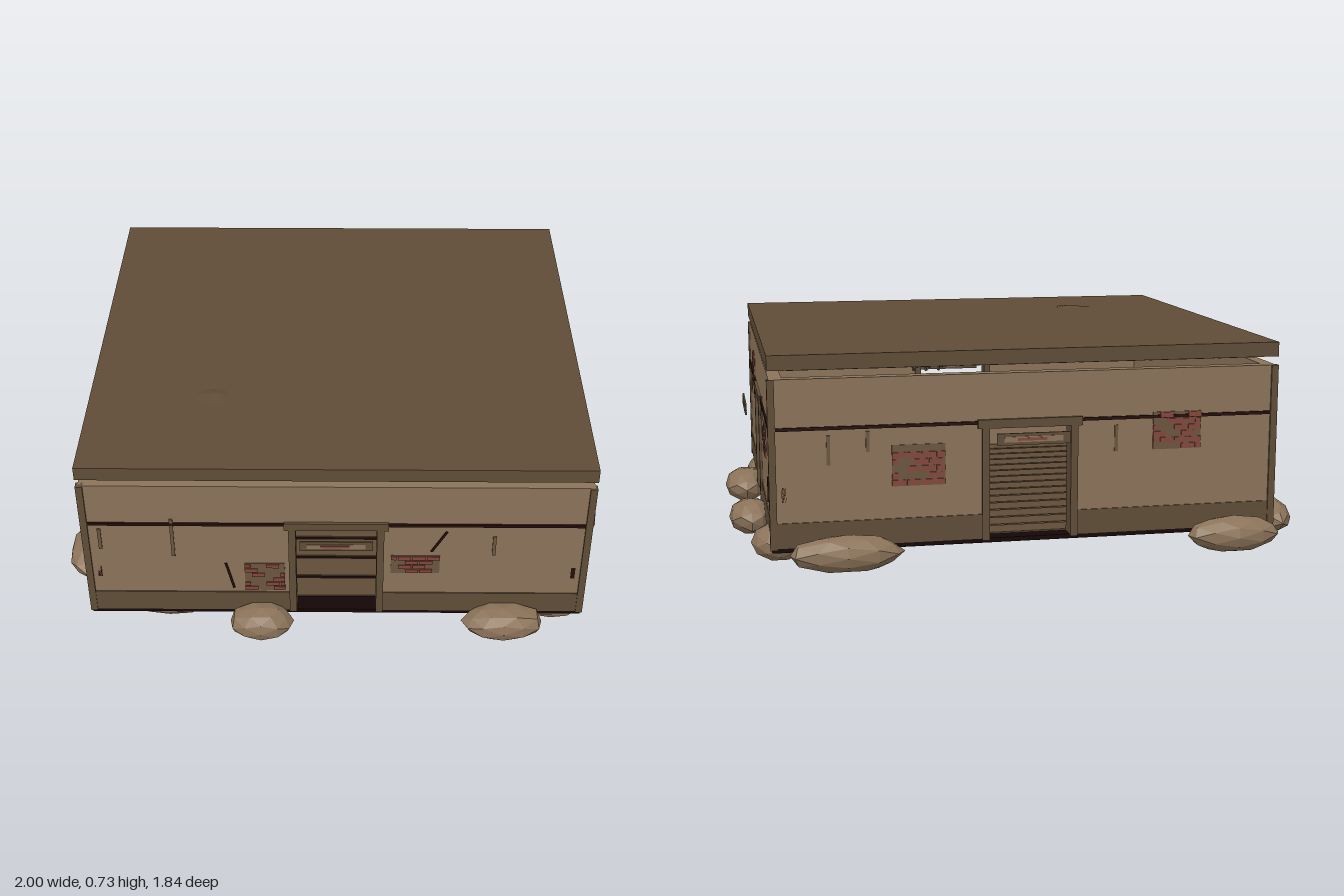
import * as THREE from 'three';

const mat = (name, color, flatShading = false) => {
  const m = new THREE.MeshStandardMaterial({ color, flatShading });
  m.name = name;
  return m;
};

export function createModel() {
  const plaster = mat('plaster', 0x8b7359);
  const wood = mat('darkWood', 0x5f4c37);
  const stone = mat('stone', 0x8b7359, true);
  const darkStone = mat('darkStone', 0x5f4c37, true);
  const soot = mat('soot', 0x150606);
  const trim = mat('trim', 0x260e0b);
  const mortar = mat('mortar', 0x6b563f);
  const brick = mat('brick', 0x84463b);

  const root = new THREE.Group();
  root.name = 'hut';
  let seed = 7;
  const rand = () => (seed = (seed * 16807) % 2147483647) / 2147483647;

  // box given by its two corners
  function box(parent, name, m, x0, x1, y0, y1, z0, z1) {
    const mesh = new THREE.Mesh(new THREE.BoxGeometry(x1 - x0, y1 - y0, z1 - z0), m);
    mesh.position.set((x0 + x1) / 2, (y0 + y1) / 2, (z0 + z1) / 2);
    mesh.name = name;
    parent.add(mesh);
    return mesh;
  }

  // exposed bricks: mortar plate with staggered thin bricks
  function brickPatch(parent, d, [u0, u1, y0, y1]) {
    const g = new THREE.Group();
    g.name = 'brickPatch';
    box(g, 'mortar', mortar, u0, u1, y0, y1, d, d + 0.003);
    const rows = Math.round((y1 - y0) / 0.022), h = (y1 - y0) / rows, w = 0.05;
    for (let r = 0; r < rows; r++) {
      for (let u = u0 - (r % 2) * w / 2; u < u1 - 0.01; u += w) {
        const a = Math.max(u, u0), b = Math.min(u + w - 0.005, u1);
        if (b - a > 0.008 && rand() < 0.68)
          box(g, 'brick', brick, a, b, y0 + r * h + 0.003, y0 + (r + 1) * h - 0.002, d, d + 0.007);
      }
    }
    parent.add(g);
  }

  // slanted crack between two points on a wall
  function crack(parent, d, [ua, ya, ub, yb]) {
    const len = Math.hypot(ub - ua, yb - ya);
    const c = box(parent, 'crack', trim, -0.004, 0.004, -len / 2, len / 2, d, d + 0.004);
    c.position.set((ua + ub) / 2, (ya + yb) / 2, d + 0.002);
    c.rotation.z = -Math.atan2(ub - ua, yb - ya);
  }

  // one wall with doorway; u runs to the right seen from outside
  function wall({ name, turn, half, dist, patches, cracks, stains }) {
    const g = new THREE.Group();
    g.name = name;
    g.rotation.y = turn;
    const inner = dist - 0.05, face = dist - 0.006;
    for (const s of [-1, 1]) {
      const a = s < 0 ? -half + 0.006 : 0.15, b = s < 0 ? -0.15 : half - 0.006;
      box(g, 'wallPanel', plaster, a, b, 0.08, 0.65, inner, face);
      box(g, 'baseBand', wood, a, b, 0.085, 0.17, face - 0.01, dist - 0.002);
      box(g, 'stringCourse', trim, a, b, 0.479, 0.49, face - 0.01, dist);
      box(g, 'innerRail', trim, a, b, 0.24, 0.29, inner - 0.005, inner + 0.01);
      const j = s < 0 ? -0.165 : 0.14;
      box(g, 'doorJamb', wood, j, j + 0.025, 0.08, 0.47, inner - 0.01, dist + 0.004);
    }
    box(g, 'wallAboveDoor', plaster, -0.15, 0.15, 0.467, 0.65, inner, face);
    box(g, 'doorLintel', wood, -0.18, 0.18, 0.465, 0.495, inner - 0.01, dist + 0.005);
    // hanging board in front of the door
    const s = dist + 0.045;
    box(g, 'hangingBoard', wood, -0.125, 0.125, 0.415, 0.455, s, s + 0.006);
    box(g, 'boardInset', plaster, -0.1, 0.1, 0.425, 0.444, s - 0.001, s + 0.008);
    box(g, 'boardMark', brick, -0.055, 0.045, 0.43, 0.439, s - 0.002, s + 0.009);
    patches.forEach((p) => brickPatch(g, face, p));
    cracks.forEach((c) => crack(g, face, c));
    stains.forEach(([u, y0, y1]) =>
      box(g, 'waterStain', mortar, u - 0.006, u + 0.006, y0, y1, face, face + 0.004));
    root.add(g);
  }

  wall({
    name: 'frontWall', turn: 0, half: 0.875, dist: 0.8,
    patches: [[-0.32, -0.18, 0.18, 0.305], [0.19, 0.36, 0.265, 0.345]],
    cracks: [[-0.385, 0.305, -0.36, 0.19], [0.38, 0.455, 0.33, 0.365]],
    stains: [[-0.815, 0.37, 0.46], [-0.565, 0.34, 0.505], [0.545, 0.35, 0.435]],
  });
  wall({
    name: 'leftWall', turn: Math.PI / 2, half: 0.8, dist: 0.875,
    patches: [[-0.43, -0.29, 0.45, 0.58], [0.41, 0.55, 0.34, 0.45]],
    cracks: [[-0.385, 0.41, -0.36, 0.455], [0.615, 0.29, 0.6, 0.2]],
    stains: [[-0.71, 0.4, 0.47], [-0.585, 0.38, 0.48], [0.18, 0.41, 0.465], [0.28, 0.35, 0.51]],
  });
  wall({
    name: 'backWall', turn: Math.PI, half: 0.875, dist: 0.8,
    patches: [[-0.47, -0.29, 0.28, 0.42], [0.43, 0.6, 0.37, 0.5]],
    cracks: [],
    stains: [[-0.68, 0.36, 0.46], [-0.55, 0.4, 0.47], [0.3, 0.37, 0.46]],
  });
  wall({
    name: 'rightWall', turn: -Math.PI / 2, half: 0.8, dist: 0.875,
    patches: [[-0.67, -0.57, 0.42, 0.53], [0.48, 0.7, 0.3, 0.45]],
    cracks: [[-0.28, 0.28, -0.26, 0.18], [0.38, 0.35, 0.36, 0.26]],
    stains: [[-0.45, 0.36, 0.45], [0.25, 0.36, 0.47]],
  });

  // corner posts
  for (const x of [-1, 1]) for (const z of [-1, 1]) {
    const p = box(root, 'cornerPost', wood, -0.012, 0.012, 0.08, 0.65, -0.012, 0.012);
    p.position.x = x * 0.864;
    p.position.z = z * 0.789;
  }

  // floor slab with planks, ceiling planks and roof
  box(root, 'floorSlab', soot, -0.87, 0.87, 0.07, 0.085, -0.795, 0.795);
  for (let i = 0; i < 14; i++) {
    const z = -0.74 + i * 0.106;
    box(root, 'floorPlank', wood, -0.82, 0.82, 0.083, 0.09, z, z + 0.09);
  }
  for (let i = 0; i < 20; i++) {
    const x = -0.82 + i * 0.082;
    box(root, 'ceilingPlank', wood, x, x + 0.07, 0.673, 0.681, -0.76, 0.76);
  }
  box(root, 'roof', wood, -0.875, 0.875, 0.68, 0.73, -0.8, 0.8);

  // faceted boulder, roughened by a rule on vertex position
  function rock(name, m, x, y, z, rx, ry, rz) {
    const geo = new THREE.IcosahedronGeometry(1, 1);
    const p = geo.attributes.position, v = new THREE.Vector3();
    for (let i = 0; i < p.count; i++) {
      v.fromBufferAttribute(p, i);
      const k = 1 - 0.1 * Math.abs(Math.sin(v.x * 5.1 + x * 9) * Math.cos(v.z * 4.3 + v.y * 3.7 + z * 7));
      p.setXYZ(i, v.x * k * rx, v.y * k * ry, v.z * k * rz);
    }
    geo.computeVertexNormals();
    const mesh = new THREE.Mesh(geo, m);
    mesh.position.set(x, y, z);
    mesh.name = name;
    root.add(mesh);
  }
  [
    [-0.71, -0.85, 0.18, 0.075], [0.63, -0.85, 0.205, 0.075],
    [-0.93, -0.57, 0.075, 0.2], [-0.92, 0.47, 0.08, 0.145],
    [-0.265, 0.84, 0.12, 0.08], [0.59, 0.835, 0.15, 0.08],
    [0.92, 0.24, 0.08, 0.145], [0.92, -0.28, 0.08, 0.125],
    [0.84, -0.65, 0.095, 0.12], [0.81, 0.64, 0.09, 0.09],
    [-0.6, 0.7, 0.16, 0.09], [0.77, 0.72, 0.12, 0.07],
  ].forEach(([x, z, rx, rz], i) =>
    rock('baseRock', stone, x, i < 9 ? 0.073 : 0.055, z, rx, i < 9 ? 0.065 : 0.045, rz));
  rock('roofMound', darkStone, -0.43, 0.64, 0.385, 0.19, 0.107, 0.15);

  // dry twigs just under the roof
  for (let i = 0; i < 6; i++) {
    const t = new THREE.Mesh(new THREE.ConeGeometry(0.005, 0.07, 4), darkStone);
    t.position.set(0.22 + i * 0.025, 0.64, -0.34 - ((i * 3) % 6) * 0.022);
    t.rotation.z = (i - 2.5) * -0.08;
    t.name = 'twig';
    root.add(t);
  }
  return root;
}
